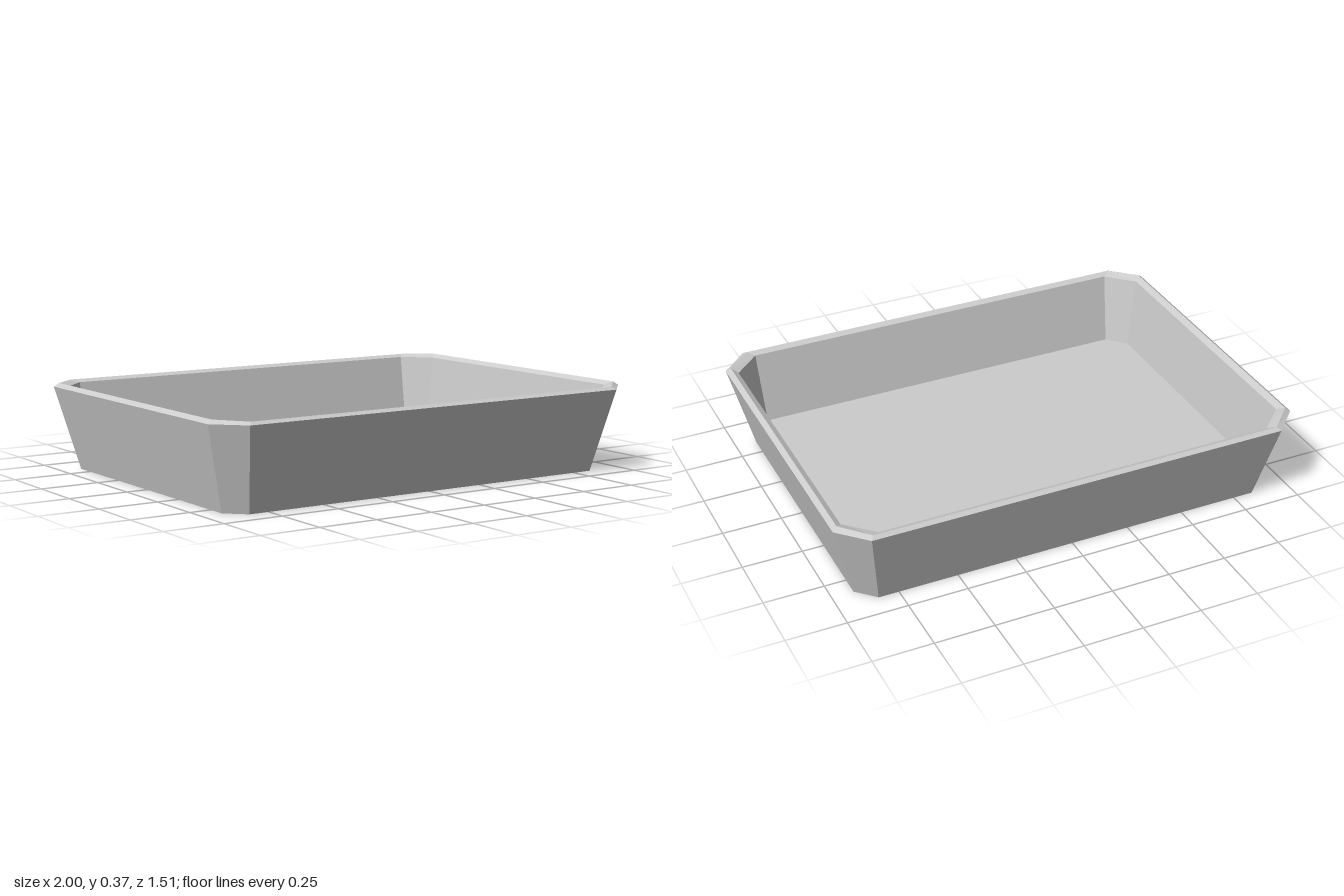
import * as THREE from 'three';

// Chamfered-rectangle cross-section: half sizes hx, hz; corner starts cx, cz;
// height yx on the left/right edges and yz on the front/back edges.
function ring(hx, hz, cx, cz, yx, yz = yx) {
  return [
    [hx, yx, cz], [cx, yz, hz], [-cx, yz, hz], [-hx, yx, cz],
    [-hx, yx, -cz], [-cx, yz, -hz], [cx, yz, -hz], [hx, yx, -cz],
  ];
}

function facetedMesh(name, positions, material) {
  const geometry = new THREE.BufferGeometry();
  geometry.setAttribute('position', new THREE.Float32BufferAttribute(positions, 3));
  geometry.computeVertexNormals();
  const mesh = new THREE.Mesh(geometry, material);
  mesh.name = name;
  return mesh;
}

// Band of quads joining two rings
function band(name, a, b, material) {
  const p = [];
  for (let i = 0; i < a.length; i++) {
    const j = (i + 1) % a.length;
    p.push(...a[i], ...b[i], ...b[j], ...a[i], ...b[j], ...a[j]);
  }
  return facetedMesh(name, p, material);
}

// Flat fan filling a ring, facing up or down
function cap(name, r, up, material) {
  const p = [];
  for (let i = 1; i < r.length - 1; i++) {
    p.push(...r[0], ...(up ? r[i + 1] : r[i]), ...(up ? r[i] : r[i + 1]));
  }
  return facetedMesh(name, p, material);
}

export function createModel() {
  const group = new THREE.Group();
  group.name = 'tray';
  const grey = new THREE.MeshStandardMaterial({ color: 0xcccccc });
  grey.name = 'light grey';
  grey.flatShading = true;

  const base = ring(0.91, 0.655, 0.835, 0.58, 0);
  const outerTop = ring(1, 0.753, 0.888, 0.64, 0.35);
  const ridge = ring(0.98, 0.736, 0.875, 0.63, 0.365, 0.361);
  const innerTop = ring(0.955, 0.71, 0.845, 0.603, 0.35);
  const floor = ring(0.905, 0.65, 0.83, 0.575, 0.05);

  group.add(
    cap('underside', base, false, grey),
    band('outerWalls', base, outerTop, grey),
    band('outerRim', outerTop, ridge, grey),
    band('innerRim', ridge, innerTop, grey),
    band('innerWalls', innerTop, floor, grey),
    cap('floor', floor, true, grey),
  );
  return group;
}
